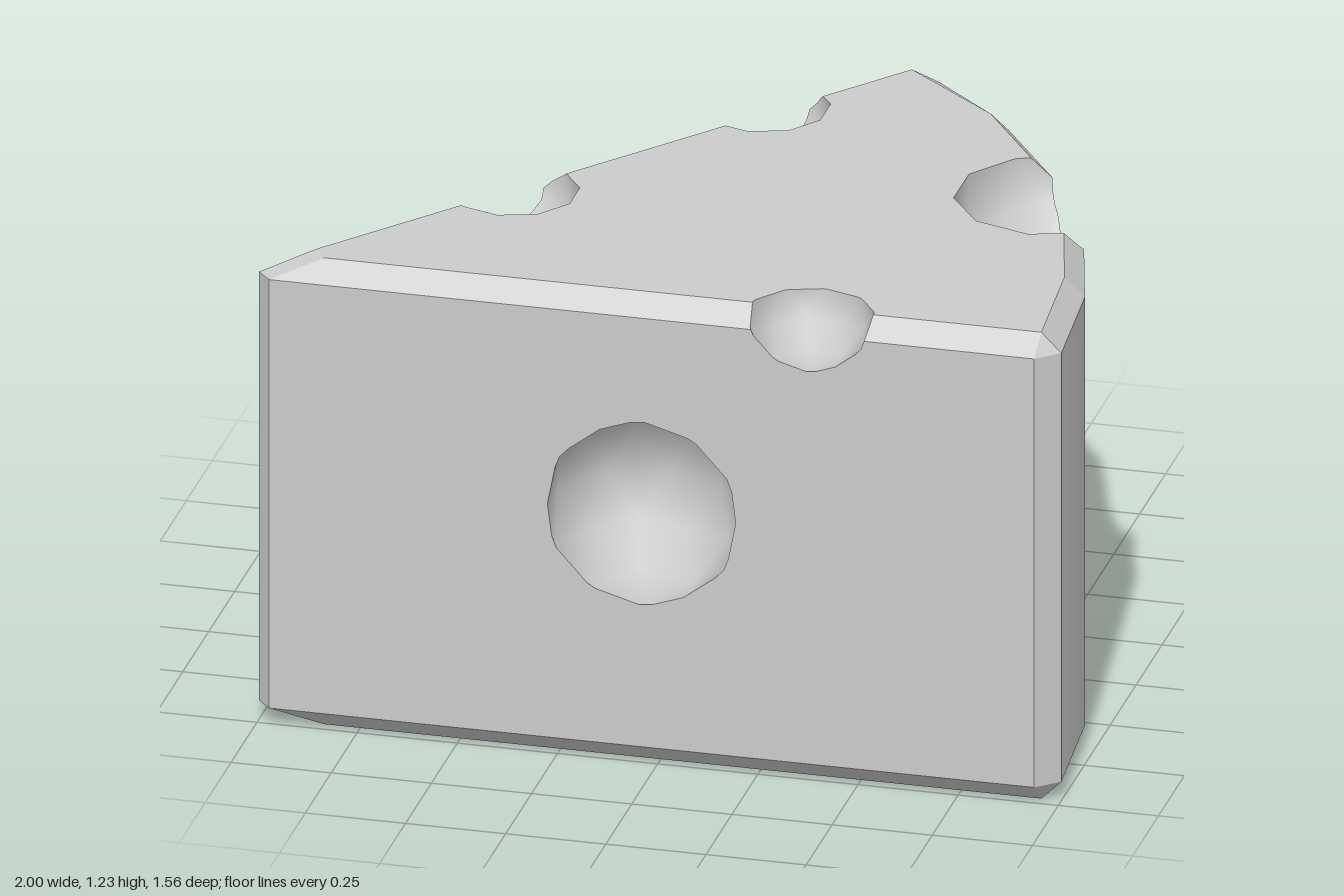
import * as THREE from 'three';
import { ConvexGeometry } from 'three/addons/geometries/ConvexGeometry.js';

const V = (x, y, z) => new THREE.Vector3(x, y, z);
const HEIGHT = 1.23, BEVEL = 0.05, RADIUS = 2;
const TIP = [-1, 0.73]; // axis of the curved rind, in x and z

// Split a convex polygon by a plane into its outer and inner part
function split(poly, plane) {
  const outer = [], inner = [];
  poly.forEach((a, i) => {
    const b = poly[(i + 1) % poly.length];
    const da = plane.distanceToPoint(a), db = plane.distanceToPoint(b);
    if (da >= -1e-6) outer.push(a);
    if (da <= 1e-6) inner.push(a);
    if ((da > 1e-6 && db < -1e-6) || (da < -1e-6 && db > 1e-6)) {
      const m = a.clone().lerp(b, da / (da - db));
      outer.push(m);
      inner.push(m);
    }
  });
  return [outer, inner];
}

// Parts of a polygon that lie outside a convex solid
function subtract(poly, planes) {
  const kept = [];
  let rest = poly;
  for (const plane of planes) {
    const [outer, inner] = split(rest, plane);
    if (outer.length > 2) kept.push(outer);
    rest = inner;
    if (rest.length < 3) return [poly];
  }
  return kept;
}

// Part of a polygon that lies inside a convex solid
function intersect(poly, planes) {
  for (const plane of planes) {
    poly = split(poly, plane)[1];
    if (poly.length < 3) return [];
  }
  return [poly];
}

// Triangles of a geometry, without slivers
function triangles(geometry) {
  const p = geometry.toNonIndexed ? (geometry.index ? geometry.toNonIndexed() : geometry).attributes.position : null;
  const list = [];
  for (let i = 0; i < p.count; i += 3) {
    const t = [0, 1, 2].map((k) => V().fromBufferAttribute(p, i + k));
    if (new THREE.Triangle(...t).getArea() > 1e-7) list.push(t);
  }
  return list;
}

const planeOf = (t) => new THREE.Plane().setFromCoplanarPoints(...t);

// Collect polygons as triangle fans, with a normal for every point
function makeMesh(name, faces, material) {
  const pos = [], nor = [];
  for (const { poly, normal } of faces) {
    for (let i = 1; i < poly.length - 1; i++) {
      for (const p of [poly[0], poly[i], poly[i + 1]]) {
        pos.push(p.x, p.y, p.z);
        nor.push(...normal(p).toArray());
      }
    }
  }
  const g = new THREE.BufferGeometry();
  g.setAttribute('position', new THREE.Float32BufferAttribute(pos, 3));
  g.setAttribute('normal', new THREE.Float32BufferAttribute(nor, 3));
  const mesh = new THREE.Mesh(g, material);
  mesh.name = name;
  return mesh;
}

// Bevelled wedge with a curved back, as a convex solid
function wedgeTriangles() {
  const side = [[-0.965, 0.77], [0.945, 0.77], [0.22, -0.77], TIP];
  const cap = [[-0.84, 0.72], [-0.87, 0.67]];
  const sweep = Math.atan2(1.5, 1.28);
  for (let i = 0; i <= 5; i++) {
    const a = (sweep * i) / 5, c = Math.cos(a), s = Math.sin(a);
    side.push([TIP[0] + RADIUS * c, TIP[1] - 0.01 - (RADIUS - 0.01) * s]);
    const r = RADIUS - BEVEL;
    cap.push(i === 5 ? [0.25, -0.735] : [TIP[0] + r * c, TIP[1] - 0.01 - r * s]);
  }
  const points = [];
  for (const [x, z] of side) points.push(V(x, BEVEL, z), V(x, HEIGHT - BEVEL, z));
  for (const [x, z] of cap) points.push(V(x, 0, z), V(x, HEIGHT, z));
  return triangles(new ConvexGeometry(points));
}

export function createModel() {
  const group = new THREE.Group();
  group.name = 'cheeseWedge';
  const material = new THREE.MeshStandardMaterial({ color: 0xcccccc });

  const wedge = wedgeTriangles();
  const wedgePlanes = wedge.map(planeOf);

  // Round holes: name, centre, radius
  const holes = [
    ['frontHole', V(-0.035, 0.665, 0.75), 0.247],
    ['frontTopHole', V(0.38, 1.24, 0.755), 0.16],
    ['rindTopHole', V(0.77, 1.23, -0.085), 0.24],
    ['backTopHoleNearTip', V(-0.5, 1.23, 0.205), 0.16],
    ['backTopHoleNearRind', V(-0.04, 1.23, -0.435), 0.16],
    ['backHole', V(-0.22, 0.54, -0.21), 0.25],
  ].map(([name, centre, r]) => {
    const ball = new THREE.IcosahedronGeometry(r, 1);
    ball.rotateZ(-Math.atan(2 / (1 + Math.sqrt(5)))); // one corner straight up
    ball.translate(centre.x, centre.y, centre.z);
    const tris = triangles(ball);
    return { name, centre, tris, planes: tris.map(planeOf) };
  });

  // Wedge surface with the holes cut out; the curved rind is smooth
  const onRind = (p) => p.x > 0.25 && Math.hypot(p.x - TIP[0], p.z - TIP[1]) > 1.97;
  const faces = [];
  for (const tri of wedge) {
    const flat = planeOf(tri).normal;
    const curved = Math.abs(flat.y) < 0.01 && tri.every(onRind);
    const normal = curved ? (p) => V(p.x - TIP[0], 0, p.z - TIP[1]).normalize() : () => flat;
    let pieces = [tri];
    for (const h of holes) pieces = pieces.flatMap((p) => subtract(p, h.planes));
    for (const poly of pieces) faces.push({ poly, normal });
  }
  group.add(makeMesh('wedgeBody', faces, material));

  // Hollow of each hole, turned inside out
  for (const h of holes) {
    const normal = (p) => h.centre.clone().sub(p).normalize();
    const hollow = h.tris
      .flatMap((t) => intersect(t, wedgePlanes))
      .map((poly) => ({ poly: poly.slice().reverse(), normal }));
    group.add(makeMesh(h.name, hollow, material));
  }
  return group;
}
